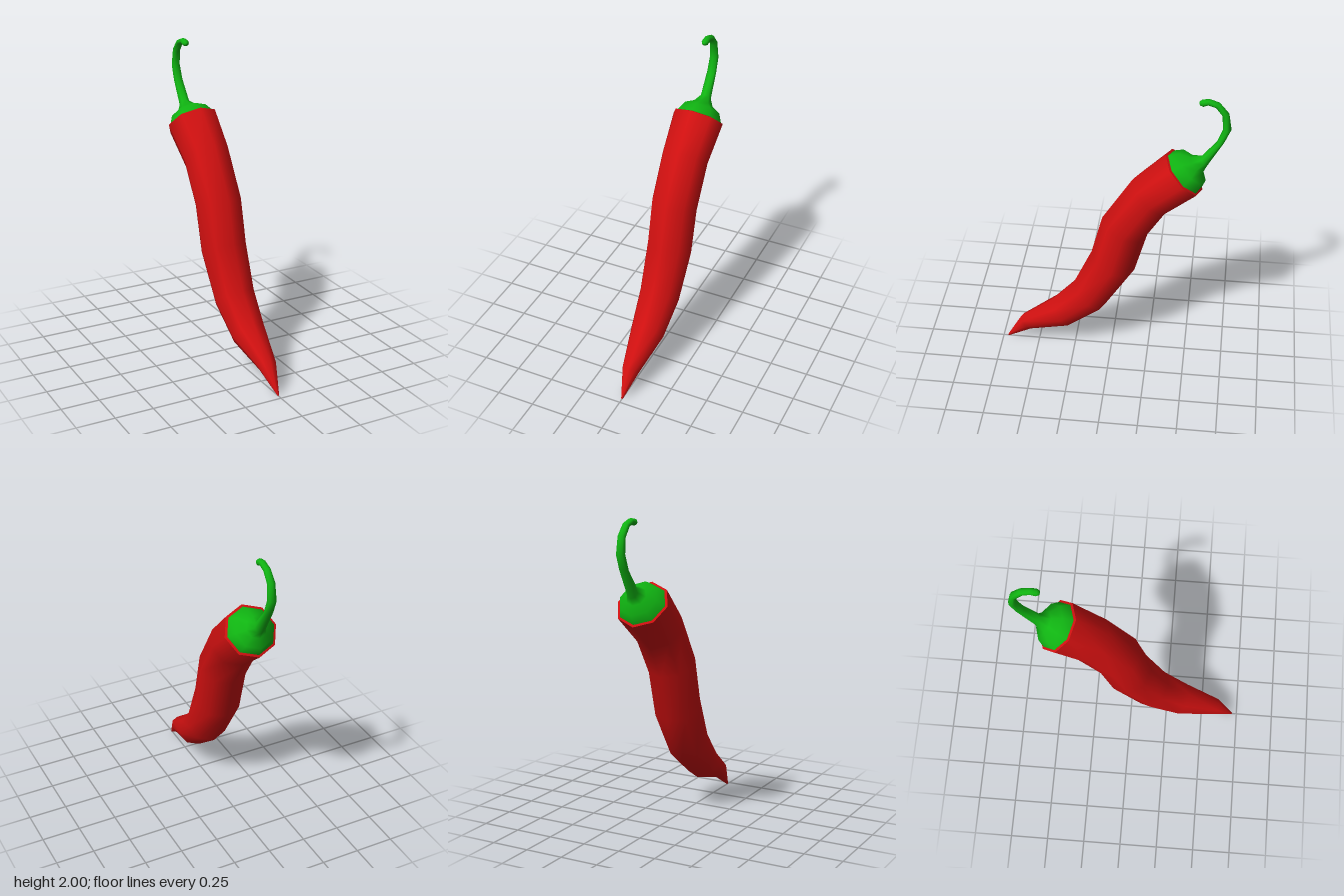
import * as THREE from 'three';

const red = new THREE.MeshStandardMaterial({ color: 0xd01010 });
red.name = 'pepperRed';
const green = new THREE.MeshStandardMaterial({ color: 0x10b412 });
green.name = 'stalkGreen';

const SIDES = 8;

// Skin through rings given as [frontZ, frontY, backZ, backY, halfWidthX]
function loft(name, rings, material) {
  const pos = [], index = [];
  for (const [fz, fy, bz, by, w] of rings) {
    for (let j = 0; j < SIDES; j++) {
      const a = (j / SIDES) * Math.PI * 2, c = Math.cos(a) / 2;
      pos.push(w * Math.sin(a), (fy + by) / 2 + (fy - by) * c, (fz + bz) / 2 + (fz - bz) * c);
    }
  }
  for (let i = 0; i < rings.length - 1; i++) {
    for (let j = 0; j < SIDES; j++) {
      const a = i * SIDES + j, b = i * SIDES + (j + 1) % SIDES;
      index.push(a, b, b + SIDES, a, b + SIDES, a + SIDES);
    }
  }
  const geo = new THREE.BufferGeometry();
  geo.setAttribute('position', new THREE.Float32BufferAttribute(pos, 3));
  geo.setIndex(index);
  geo.computeVertexNormals();
  const mesh = new THREE.Mesh(geo, material);
  mesh.name = name;
  return mesh;
}

export function createModel() {
  const group = new THREE.Group();
  group.name = 'chiliPepper';

  // Curved body from the pointed tip up to the shoulder
  const rim = [-0.33, 1.592, -0.565, 1.35, 0.172];
  group.add(loft('body', [
    [0.72, 0.003, 0.72, 0.003, 0],
    [0.718, 0.014, 0.71, 0.004, 0.007],
    [0.62, 0.19, 0.54, 0.105, 0.06],
    [0.40, 0.36, 0.27, 0.18, 0.115],
    [0.25, 0.53, 0.04, 0.36, 0.138],
    [0.13, 0.80, -0.15, 0.67, 0.154],
    [0.06, 1.08, -0.23, 0.97, 0.156],
    [-0.13, 1.39, -0.36, 1.18, 0.157],
    rim,
  ], red));

  // Narrow red lip around the calyx
  const inner = [-0.345, 1.584, -0.558, 1.364, 0.157];
  group.add(loft('bodyLip', [rim, inner], red));

  // Domed calyx narrowing into the hooked stalk
  group.add(loft('calyxAndStalk', [
    inner,
    [-0.41, 1.605, -0.582, 1.42, 0.126],
    [-0.48, 1.585, -0.563, 1.48, 0.068],
    [-0.545, 1.595, -0.583, 1.525, 0.036],
    [-0.632, 1.70, -0.682, 1.71, 0.031],
    [-0.668, 1.80, -0.718, 1.80, 0.029],
    [-0.658, 1.895, -0.699, 1.91, 0.026],
    [-0.615, 1.95, -0.642, 1.978, 0.024],
    [-0.572, 1.963, -0.578, 2.0, 0.022],
    [-0.545, 1.952, -0.535, 1.994, 0.024],
    [-0.524, 1.958, -0.52, 1.982, 0.014],
    [-0.52, 1.97, -0.52, 1.97, 0],
  ], green));

  return group;
}
